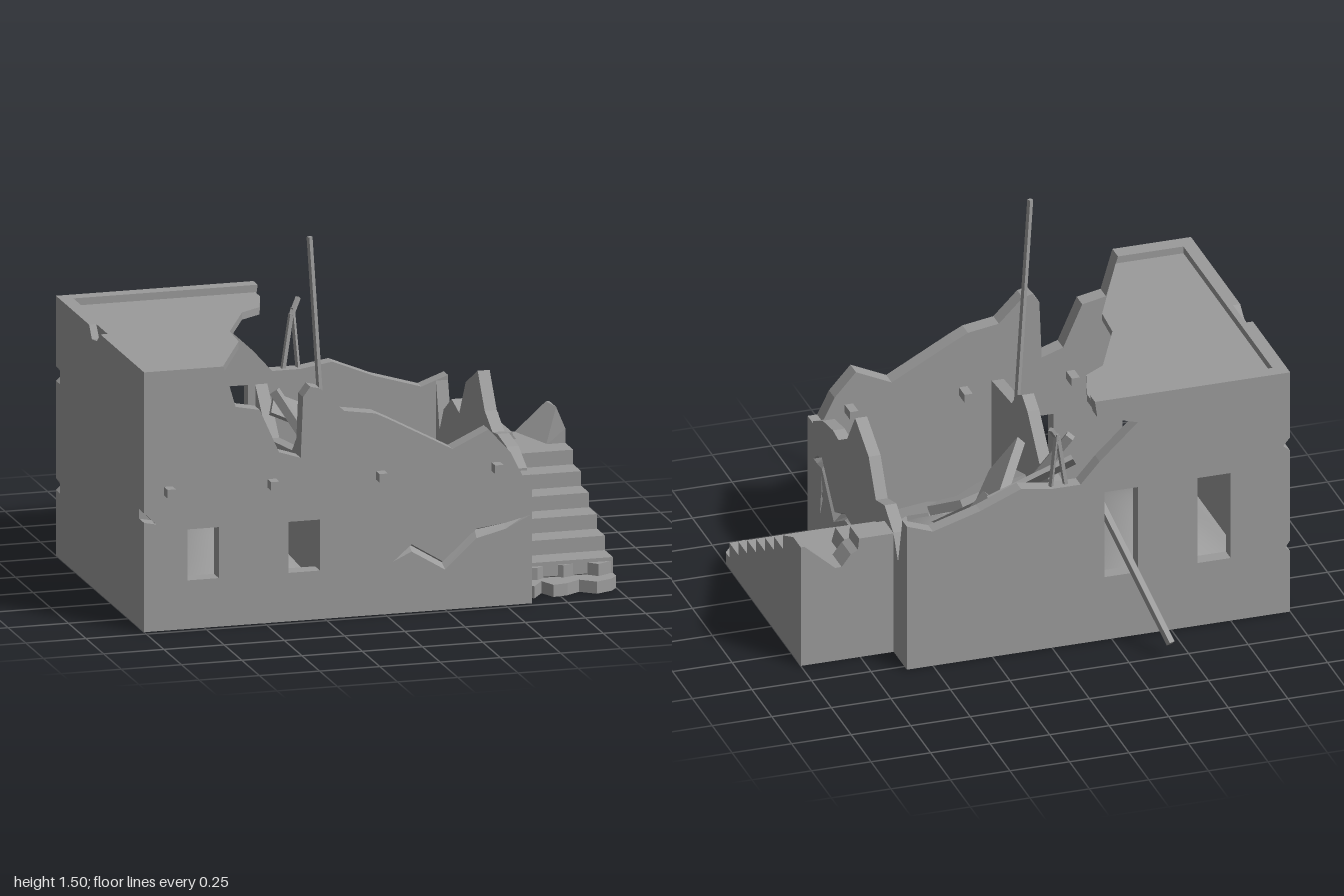
import * as THREE from 'three';
import { ConvexGeometry } from 'three/addons/geometries/ConvexGeometry.js';

const mat = new THREE.MeshStandardMaterial({ color: 0x9b9b9b, flatShading: true });
const thinMat = new THREE.MeshStandardMaterial({ color: 0x9b9b9b, flatShading: true, side: THREE.DoubleSide });
const soilMat = new THREE.MeshStandardMaterial({ color: 0x9b9b9b, side: THREE.DoubleSide });

const shapeOf = (pts, holes = []) => {
  const s = new THREE.Shape(pts.map(p => new THREE.Vector2(...p)));
  holes.forEach(h => s.holes.push(new THREE.Path(h.map(p => new THREE.Vector2(...p)))));
  return s;
};
const extrude = (pts, depth, holes) =>
  new THREE.ExtrudeGeometry(shapeOf(pts, holes), { depth, bevelEnabled: false });
const flip = pts => pts.map(([a, b]) => [-a, b]);

// outline in x,y, running from z0 to z1
const slabXY = (pts, z0, z1, holes) => extrude(pts, z1 - z0, holes).translate(0, 0, z0);
// outline in z,y, running from x0 to x1
const slabZY = (pts, x0, x1, holes = []) =>
  extrude(flip(pts), x1 - x0, holes.map(flip)).rotateY(Math.PI / 2).translate(x0, 0, 0);
// outline in x,z, running from y0 to y1
const slabXZ = (pts, y0, y1) =>
  extrude(pts.map(([x, z]) => [x, -z]), y1 - y0).rotateX(-Math.PI / 2).translate(0, y0, 0);
const rect = (x0, x1, y0, y1) => [[x0, y0], [x1, y0], [x1, y1], [x0, y1]];

// outline of a crack, and its V-shaped groove, from its upper and lower edges
const crackOutline = ([upper, lower]) => [...upper, ...lower.slice(1, -1).reverse()];
const groove = ([upper, lower], depth, place) => {
  const pos = [], index = [];
  upper.forEach(([a, b], i) => {
    const [c, d] = lower[i];
    pos.push(...place(a, b, 0), ...place(a * 0.7 + c * 0.3, b * 0.7 + d * 0.3, depth), ...place(c, d, 0));
    if (i) for (const k of [i * 3, i * 3 + 1]) index.push(k - 3, k - 2, k, k, k - 2, k + 1);
  });
  const g = new THREE.BufferGeometry();
  g.setAttribute('position', new THREE.Float32BufferAttribute(pos, 3));
  g.setIndex(index);
  g.computeVertexNormals();
  return g;
};

export function createModel() {
  const model = new THREE.Group();
  const add = (name, geo, material = mat) => {
    const m = new THREE.Mesh(geo, material);
    m.name = name;
    model.add(m);
    return m;
  };
  // timber between two points
  const beam = (name, a, b, w = 0.03, d = w, roll = 0) => {
    const p = new THREE.Vector3(...a), q = new THREE.Vector3(...b);
    const m = add(name, new THREE.BoxGeometry(w, d, p.distanceTo(q)).rotateZ(roll));
    m.position.copy(p).lerp(q, 0.5);
    m.lookAt(q);
  };

  // front wall: broken top, two windows, crack cut into the outer skin
  const front = [[-1, 0], [0.61, 0], [0.61, 0.53], [0.57, 0.53], [0.52, 0.63], [0.43, 0.73], [0.28, 0.66],
    [0.02, 0.8], [-0.04, 0.83], [-0.17, 0.85], [-0.27, 0.95], [-0.31, 0.96], [-0.34, 0.92], [-0.35, 0.67],
    [-0.44, 0.7], [-0.52, 0.88], [-0.62, 0.9], [-0.67, 1.07], [-1, 1.07], [-1, 0.49], [-0.95, 0.44], [-1, 0.45]];
  const frontWindows = [rect(-0.82, -0.69, 0.2, 0.41), rect(-0.4, -0.27, 0.2, 0.41)];
  const frontCrack = [
    [[0.035, 0.215], [0.11, 0.28], [0.24, 0.2], [0.38, 0.325], [0.5, 0.34], [0.605, 0.365]],
    [[0.035, 0.215], [0.11, 0.25], [0.25, 0.165], [0.38, 0.285], [0.5, 0.315], [0.605, 0.365]]];
  add('frontWallInner', slabXY(front, 0.65, 0.69, frontWindows));
  add('frontWallOuter', slabXY(front, 0.69, 0.72, [...frontWindows, crackOutline(frontCrack)]));
  add('frontCrack', groove(frontCrack, 0.03, (x, y, d) => [x, y, 0.72 - d]), thinMat);

  // back wall with two tall windows
  const back = [[-1, 0], [0.61, 0], [0.61, 0.64], [0.5, 0.6], [0.3, 0.66], [0.13, 0.73], [0, 0.71], [-0.12, 0.71],
    [-0.2, 0.8], [-0.36, 0.95], [-0.19, 1.0], [-0.18, 1.07], [-1, 1.07], [-1, 0.78], [-0.97, 0.745],
    [-1, 0.72], [-1, 0.32], [-0.98, 0.29], [-1, 0.27]];
  add('backWall', slabXY(back, -0.53, -0.47,
    [rect(-0.36, -0.22, 0.28, 0.66), rect(-0.75, -0.61, 0.28, 0.66)]));

  // left wall, chipped at the outer top edge
  add('leftWallInner', slabZY(rect(-0.47, 0.65, 0, 1.07), -0.97, -0.945));
  add('leftWallOuter', slabZY([[-0.47, 0], [0.65, 0], [0.65, 1.07], [0.1, 1.07], [0.05, 1.03], [-0.02, 1.02],
    [-0.06, 1.07], [-0.47, 1.07]], -1, -0.97));

  // right wall, broken, with two cracks
  const right = [[0.65, 0], [0.65, 0.54], [0.53, 0.6], [0.4, 0.62], [0.33, 0.61], [0.22, 0.67], [0.12, 0.81],
    [-0.05, 0.72], [-0.14, 0.57], [-0.25, 0.6], [-0.36, 0.53], [-0.42, 0.43], [-0.47, 0.62], [-0.47, 0]];
  const rightCracks = [
    [[[0.645, 0.375], [0.6, 0.41], [0.54, 0.43], [0.38, 0.265], [0.25, 0.32], [0.08, 0.3]],
      [[0.645, 0.375], [0.6, 0.375], [0.54, 0.38], [0.39, 0.215], [0.25, 0.29], [0.08, 0.3]]],
    [[[0.55, 0.35], [0.52, 0.27], [0.565, 0.16]], [[0.55, 0.35], [0.55, 0.27], [0.565, 0.16]]]];
  add('rightWallInner', slabZY(right, 0.56, 0.58));
  add('rightWallOuter', slabZY(right, 0.58, 0.61, rightCracks.map(crackOutline)));
  for (const c of rightCracks) add('rightCrack', groove(c, 0.03, (z, y, d) => [0.61 - d, y, z]), thinMat);

  // ruined partition between the two rooms
  add('partition', slabZY([[0.65, 0], [0.65, 0.6], [0.4, 0.62], [0.33, 0.69], [0.27, 0.72], [0.2, 0.68],
    [0.05, 0.52], [-0.3, 0.48], [-0.47, 0.66], [-0.47, 0]], -0.19, -0.14));

  // remaining piece of roof
  add('roof', slabXZ([[-0.945, -0.47], [-0.19, -0.47], [-0.19, -0.4], [-0.24, -0.24], [-0.33, -0.18], [-0.46, 0.09],
    [-0.47, 0.25], [-0.66, 0.65], [-0.945, 0.65]], 1.01, 1.04));

  // mounded earth floors
  for (const [name, x0, x1, h] of [['leftFloor', -0.945, -0.19, 0.18], ['rightFloor', -0.14, 0.56, 0.2]]) {
    const g = new THREE.PlaneGeometry(1, 1, 14, 14).rotateX(-Math.PI / 2);
    const p = g.attributes.position;
    for (let i = 0; i < p.count; i++) {
      const u = p.getX(i) + 0.5, v = p.getZ(i) + 0.5;
      const y = 0.04 + h * Math.sin(Math.PI * u) * Math.sin(Math.PI * v) + 0.07 * (1 - v) * u;
      p.setXYZ(i, x0 + (x1 - x0) * u, y, -0.47 + 1.12 * v);
    }
    g.computeVertexNormals();
    add(name, g, soilMat);
  }

  // stair flight as a stepped shell with an outer side and a back
  const rise = 0.06, run = 0.1125, steps = [];
  for (let i = 0; i < 6; i++) {
    const z = 0.535 - i * run, y = 0.055 + i * rise;
    steps.push([z, y], [z, y + rise]);
  }
  const underside = steps.map(([z, y]) => [z - 0.03, y - 0.03]).reverse();
  add('stairTreads', slabZY([...steps, [-0.36, 0.415], [-0.36, 0.385], ...underside], 0.61, 0.97));
  add('stairSide', slabZY([[0.535, 0], ...steps, [-0.36, 0.415], [-0.36, 0]], 0.97, 1));
  add('stairBack', slabXY(rect(0.61, 1, 0, 0.415), -0.365, -0.34));

  // crumbled upper steps, with a slumped outer corner
  add('upperStep', slabXY([[0.61, 0.4], [0.8, 0.4], [0.78, 0.475], [0.61, 0.475]], -0.25, -0.14));
  add('landing', slabXY([[0.61, 0.4], [0.84, 0.4], [0.79, 0.465], [0.76, 0.48], [0.755, 0.53], [0.61, 0.53]], -0.365, -0.25));
  add('landingCorner', new ConvexGeometry([
    [0.85, 0.41, -0.365], [1, 0.41, -0.365], [1, 0.41, -0.14], [0.92, 0.41, -0.14],
    [0.985, 0.53, -0.365], [1, 0.53, -0.365], [1, 0.53, -0.27], [1, 0.475, -0.14], [0.95, 0.45, -0.22],
  ].map(p => new THREE.Vector3(...p))));

  // jagged lowest steps
  add('bottomStep', slabXZ([[0.61, 0.44], [1, 0.44], [1, 0.58], [0.97, 0.62], [0.9, 0.65], [0.84, 0.6], [0.78, 0.64],
    [0.72, 0.65], [0.69, 0.58], [0.64, 0.65], [0.61, 0.62]], 0, 0.05));
  add('secondStep', slabXZ([[0.61, 0.42], [1, 0.42], [1, 0.53], [0.93, 0.57], [0.88, 0.52], [0.79, 0.55], [0.74, 0.51],
    [0.68, 0.56], [0.61, 0.54]], 0.05, 0.1));

  // roof beam ends through the front wall
  for (const x of [-0.9, -0.47, -0.02, 0.46])
    beam('beamEnd', [x, 0.575, 0.58], [x, 0.575, 0.77], 0.035);

  // loose timbers
  beam('tallPole', [-0.155, 0.5, 0.4], [-0.23, 1.5, 0.435], 0.017);
  beam('leaningPole', [-0.42, 0.065, -0.765], [-0.26, 0.52, -0.36], 0.026);
  beam('brokenStick', [-0.07, 0.68, -0.5], [-0.03, 0.93, -0.51], 0.016);
  beam('brokenStickTip', [-0.03, 0.92, -0.51], [0.01, 0.985, -0.545], 0.016);
  beam('brokenStick', [0, 0.66, -0.5], [-0.02, 0.95, -0.525], 0.014);
  beam('fallenPlank', [-0.21, 0.72, -0.13], [0.02, 0.33, 0.02], 0.035);
  beam('fallenPlank', [-0.2, 0.65, -0.2], [0.14, 0.5, -0.16], 0.1, 0.02, 0.75);
  beam('fallenPlank', [0.12, 0.46, -0.08], [0.22, 0.2, 0.27], 0.08, 0.025);

  // fallen slabs: outline around a centre, position, tilt
  const slabs = [
    [[[-0.12, -0.04], [-0.07, -0.12], [0.12, -0.14], [0.09, 0.13], [-0.13, 0.1]], [0.21, 0.42, -0.19], [0.25, 0, -0.8]],
    [[[-0.19, 0.13], [0.08, -0.19], [0.17, -0.1], [0.15, 0.02], [-0.02, 0.17]], [0.02, 0.49, 0.04], [0.45, 0, -0.75]],
    [[[-0.19, 0.09], [-0.19, -0.09], [-0.04, -0.06], [0.09, -0.06], [0.2, 0.05], [0.13, 0.06], [0.08, 0.02], [-0.03, 0.08]],
      [0.06, 0.33, 0.23], [0.3, 0, -0.25]],
    [[[-0.1, -0.08], [0.02, -0.11], [0.11, -0.03], [0.08, 0.11], [-0.03, 0.06]], [0.33, 0.24, -0.25], [-0.1, 0, -0.2]],
    [[[-0.1, 0.0], [-0.04, -0.09], [0.02, -0.07], [0.06, -0.1], [0.11, 0.0], [0.03, 0.08]], [0.29, 0.25, 0.08], [0.15, 0, -0.3]],
    [[[-0.18, 0.02], [-0.06, -0.08], [0.02, -0.04], [0.1, -0.11], [0.17, -0.08], [0.04, 0.12], [-0.12, 0.12]], [0.28, 0.16, 0.43], [0.3, 0, -0.1]],
  ];
  for (const [pts, pos, rot] of slabs) {
    const m = add('fallenSlab', slabXZ(pts, -0.02, 0.02));
    m.position.set(...pos);
    m.rotation.set(...rot);
  }
  return model;
}
